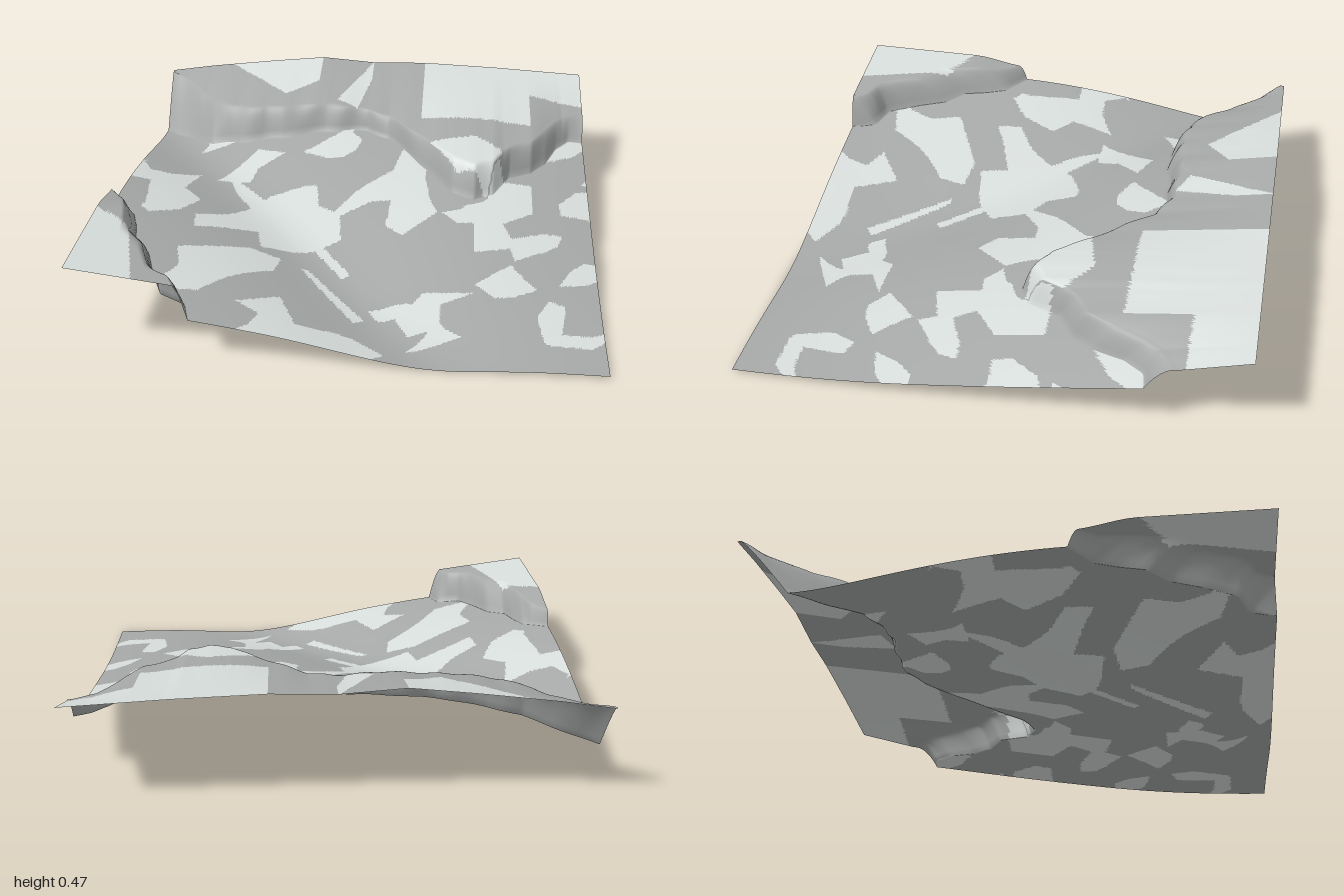
import * as THREE from 'three';

const { lerp, clamp, smoothstep } = THREE.MathUtils;

// Piecewise-linear curve through [x, value] points
function curve(points, x) {
  for (let i = 1; i < points.length; i++) {
    const [x0, v0] = points[i - 1], [x1, v1] = points[i];
    if (x <= x1) return v0 + (v1 - v0) * Math.max(0, (x - x0) / (x1 - x0));
  }
  return points[points.length - 1][1];
}

// The same curve with its corners rounded off
function softCurve(points, x) {
  let sum = 0;
  for (let k = -4; k <= 4; k++) sum += curve(points, x + k * .04);
  return sum / 9;
}

// Back cliff: z of its foot and top, and heights of its top and of the rear border
const BACK_FOOT = [[-1, -.79], [-.9, -.7], [-.8, -.62], [-.74, -.57], [-.6, -.54], [-.4, -.53], [-.2, -.56], [0, -.56],
  [.1, -.5], [.2, -.38], [.4, -.1], [.5, -.06], [.58, -.1], [.65, -.25], [.75, -.3], [.82, -.4], [.87, -.53], [.93, -.6], [1, -.61]];
const BACK_TOP = [[-1, -.99], [-.85, -.85], [-.75, -.72], [-.65, -.64], [-.5, -.6], [-.4, -.61], [-.2, -.62], [0, -.6],
  [.1, -.55], [.2, -.43], [.3, -.32], [.4, -.18], [.5, -.13], [.58, -.17], [.62, -.28], [.75, -.38], [.82, -.52], [.9, -.68], [1, -.73]];
const BACK_TOP_Y = [[-1, .38], [-.8, .35], [-.6, .36], [-.2, .39], [0, .37], [.3, .345], [.5, .33], [1, .335]];
const REAR_Y = [[-1, .38], [-.8, .41], [-.5, .445], [-.25, .47], [0, .45], [.25, .455], [.6, .44], [1, .415]];

// Front left cliff: z of its foot and top
const FRONT_FOOT = [[-1, .24], [-.9, .33], [-.87, .42], [-.85, .52], [-.78, .6], [-.74, .72], [-.68, .86], [-.58, .9], [-.55, 1], [1, 7]];
const FRONT_TOP = [[-1, .28], [-.93, .38], [-.9, .5], [-.87, .66], [-.78, .76], [-.72, .9], [-.63, .94], [-.6, 1], [1, 8]];

const backFoot = (x) => curve(BACK_FOOT, x) + .006 * Math.sin(31 * x);
const backTop = (x) => Math.max(-1, curve(BACK_TOP, x) + .008 * Math.sin(43 * x));

// Diagonal valley: sideways offset and height by distance along it
const VALLEY_SIDE = [[-1.26, -.25], [-.87, -.31], [-.54, -.33], [-.26, -.31], [.06, -.315], [.42, -.355], [.74, -.365], [1.02, -.34]];
const VALLEY_Y = [[-1.26, .143], [-.87, .172], [-.54, .165], [-.26, .13], [.06, .085], [.42, .04], [.74, .015], [1.02, 0]];

// Valley floor rises on both sides of the valley line and flattens out
function floorHeight(x, z) {
  const along = .647 * x + .765 * z, side = .765 * x - .647 * z;
  const d = Math.hypot(side - softCurve(VALLEY_SIDE, along), .15) - .15;
  const amount = 1 - .92 * smoothstep(x + .6 * z, .3, 1.75);
  return softCurve(VALLEY_Y, along) + .18 * amount * (1 - Math.exp(-d / .45));
}

function height(x, z) {
  const bf = backFoot(x), bt = backTop(x);
  const ff = curve(FRONT_FOOT, x), ft = curve(FRONT_TOP, x);
  if (z < bt) return lerp(curve(BACK_TOP_Y, x), curve(REAR_Y, x), (bt - z) / (bt + 1));
  if (z < bf) {
    const bend = lerp(1.1, 2, smoothstep(x, -1, -.6));
    const s = 1 - Math.pow(1 - (bf - z) / (bf - bt), bend);
    return lerp(floorHeight(x, bf), curve(BACK_TOP_Y, x), s);
  }
  if (z <= ff) return floorHeight(x, z);
  const plateau = .34 + .035 * smoothstep(z, .25, .5) - .14 * (x + 1);
  const t = clamp((z - ff) / (ft - ff), 0, 1);
  return lerp(floorHeight(x, ff), plateau, 1 - (1 - t) * (1 - t));
}

// Larger light areas, as x, z outlines
const PATCHES = [
  [[-.7, -1], [-.25, -1], [-.25, -.8], [-.4, -.7]],
  [[0, -1], [0, -.85], [-.05, -.6], [-.15, -.65]],
  [[.25, -1], [1, -1], [1, -.76], [.75, -.76], [.75, -.5], [.25, -.5]],
  [[.3, -.3], [.5, -.35], [.62, -.25], [.55, -.08], [.42, -.12]],
  [[.55, -.05], [.6, -.2], [.75, -.2], [.75, 0], [.62, .1], [.68, .25], [.5, .3], [.5, .12], [.45, 0]],
  [[-.5, -.45], [-.37, -.4], [-.48, -.3], [-.5, -.2], [-.65, -.2]],
  [[-.6, -.25], [-.3, .05], [-.4, .1], [-.55, -.1]],
  [[-.25, .15], [-.2, .15], [0, .42], [-.03, .45]],
  [[-.2, .42], [-.17, .42], [.08, .72], [.04, .75]],
  [[.3, .55], [.5, .55], [.37, .62], [.37, .75], [.25, .8], [.2, .7]],
  [[-1, .5], [-.85, .6], [-.75, 1], [-1, 1]],
];

function insideOutline(outline, x, z) {
  let inside = false;
  outline.forEach(([ax, az], i) => {
    const [bx, bz] = outline[(i + 1) % outline.length];
    if ((az > z) !== (bz > z) && x < (bx - ax) * (z - az) / (bz - az) + ax) inside = !inside;
  });
  return inside;
}

// Fixed pseudo-random value at a lattice point
function hash(i, j) {
  const s = Math.sin(i * 127.1 + j * 311.7) * 43758.5453;
  return s - Math.floor(s);
}

// Angular mottling of the valley floor: lattice values blended across triangles
function mottled(x, z) {
  const u = (x + 1) / .15, v = (z + 1) / .15;
  const i = Math.floor(u), j = Math.floor(v), a = u - i, b = v - j;
  const value = a + b < 1
    ? hash(i, j) * (1 - a - b) + hash(i + 1, j) * a + hash(i, j + 1) * b
    : hash(i + 1, j + 1) * (a + b - 1) + hash(i, j + 1) * (1 - a) + hash(i + 1, j) * (1 - b);
  return value > .6;
}

function isLight(x, z) {
  if (PATCHES.some((outline) => insideOutline(outline, x, z))) return true;
  return z > backFoot(x) && z < curve(FRONT_FOOT, x) && mottled(x, z);
}

export function createModel() {
  const model = new THREE.Group();
  model.name = 'terrain';
  const columns = 240, rowCounts = [40, 8, 110, 8, 20];
  const positions = [];
  let rows = 0;

  // Each column of vertices follows the feet and tops of both cliffs
  for (let i = 0; i <= columns; i++) {
    const x = -1 + 2 * i / columns;
    const stops = [-1, backTop(x), backFoot(x),
      Math.min(1, curve(FRONT_FOOT, x)), Math.min(1, curve(FRONT_TOP, x)), 1];
    const zs = [-1];
    rowCounts.forEach((n, k) => {
      for (let j = 1; j <= n; j++) zs.push(lerp(stops[k], stops[k + 1], j / n));
    });
    rows = zs.length;
    for (const z of zs) positions.push(x, height(x, z), z);
  }

  // Sort the triangles into ground and lighter patches, leaving out empty ones
  const ground = [], patches = [];
  const addFace = (...face) => {
    const [x0, x1, x2] = face.map((k) => positions[3 * k]);
    const [z0, z1, z2] = face.map((k) => positions[3 * k + 2]);
    if (Math.abs((x1 - x0) * (z2 - z0) - (x2 - x0) * (z1 - z0)) < 1e-9) return;
    (isLight((x0 + x1 + x2) / 3, (z0 + z1 + z2) / 3) ? patches : ground).push(...face);
  };
  for (let i = 0; i < columns; i++) {
    for (let j = 0; j < rows - 1; j++) {
      const a = i * rows + j, b = a + rows;
      addFace(a, a + 1, b);
      addFace(b, a + 1, b + 1);
    }
  }

  // One set of smooth normals shared by both surfaces
  const surface = new THREE.BufferGeometry();
  surface.setAttribute('position', new THREE.Float32BufferAttribute(positions, 3));
  surface.setIndex(ground.concat(patches));
  surface.computeVertexNormals();
  for (const [name, index, color] of [['ground', ground, 0xa6a9a8], ['lightPatches', patches, 0xd8dedc]]) {
    const geometry = surface.clone();
    geometry.setIndex(index);
    const mesh = new THREE.Mesh(geometry, new THREE.MeshStandardMaterial({ color, side: THREE.DoubleSide }));
    mesh.name = name;
    model.add(mesh);
  }
  return model;
}
